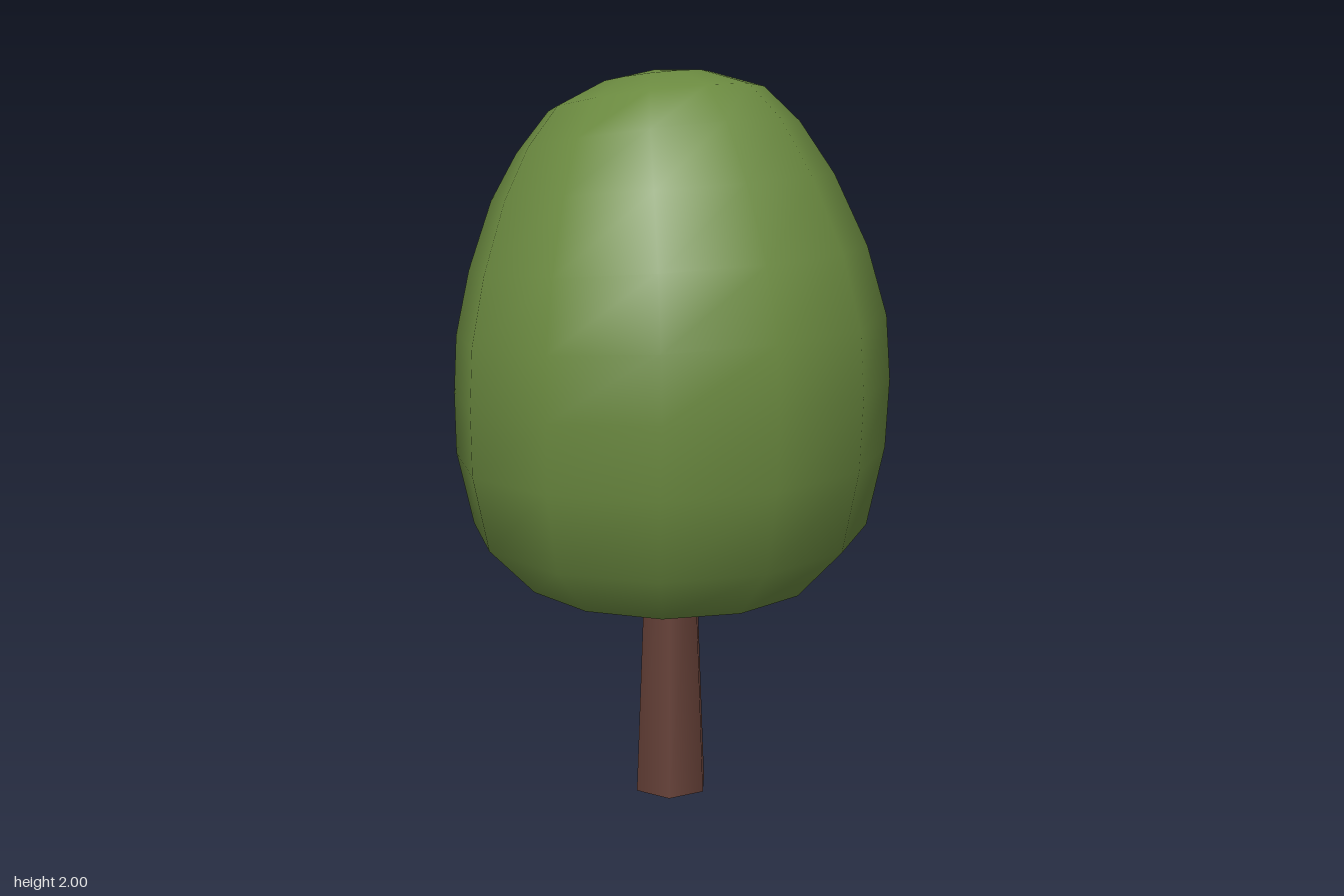
import * as THREE from 'three';

// Crown cross-sections from bottom to top: [centre y, centre z, radius, rise toward +z]
const RINGS = [
  [0.625, -0.01, 0.405, 0],
  [0.76, -0.007, 0.535, 0.01],
  [0.97, -0.005, 0.58, 0.03],
  [1.15, 0.002, 0.585, 0.05],
  [1.315, -0.002, 0.575, 0.065],
  [1.495, -0.02, 0.53, 0.075],
  [1.68, -0.05, 0.455, 0.08],
  [1.81, -0.075, 0.375, 0.09],
  [1.91, -0.085, 0.285, 0.07],
  [1.965, -0.095, 0.145, 0.035],
];
const SIDES = 12;

// Smooth hollow shell of tilted rings, closed at the apex and open underneath
function crownGeometry() {
  const positions = [];
  const index = [];
  for (const [y, z, r, rise] of RINGS) {
    for (let i = 0; i < SIDES; i++) {
      const a = (i / SIDES) * Math.PI * 2;
      positions.push(Math.sin(a) * r, y + Math.cos(a) * rise, z + Math.cos(a) * r);
    }
  }
  const apex = positions.length / 3;
  positions.push(0, 1.985, -0.095);

  for (let k = 0; k < RINGS.length; k++) {
    for (let i = 0; i < SIDES; i++) {
      const a = k * SIDES + i;
      const b = k * SIDES + ((i + 1) % SIDES);
      if (k === RINGS.length - 1) index.push(a, b, apex);
      else index.push(a, b, b + SIDES, a, b + SIDES, a + SIDES);
    }
  }
  const geometry = new THREE.BufferGeometry();
  geometry.setAttribute('position', new THREE.Float32BufferAttribute(positions, 3));
  geometry.setIndex(index);
  geometry.computeVertexNormals();
  return geometry;
}

export function createModel() {
  const leafGreen = new THREE.MeshStandardMaterial({ color: 0x6b8a40, side: THREE.DoubleSide });
  leafGreen.name = 'leaf green';
  const barkBrown = new THREE.MeshStandardMaterial({ color: 0x643f36, side: THREE.DoubleSide });
  barkBrown.name = 'bark brown';

  const tree = new THREE.Group();
  tree.name = 'tree';

  // Tapered six-sided trunk, running up into the crown
  const trunk = new THREE.Mesh(
    new THREE.CylinderGeometry(0.073, 0.106, 0.8, 6, 1, true, Math.PI / 2),
    barkBrown,
  );
  trunk.name = 'trunk';
  trunk.position.y = 0.4;
  tree.add(trunk);

  // Egg-shaped crown, leaning slightly back at the top
  const crown = new THREE.Mesh(crownGeometry(), leafGreen);
  crown.name = 'crown';
  tree.add(crown);

  return tree;
}
